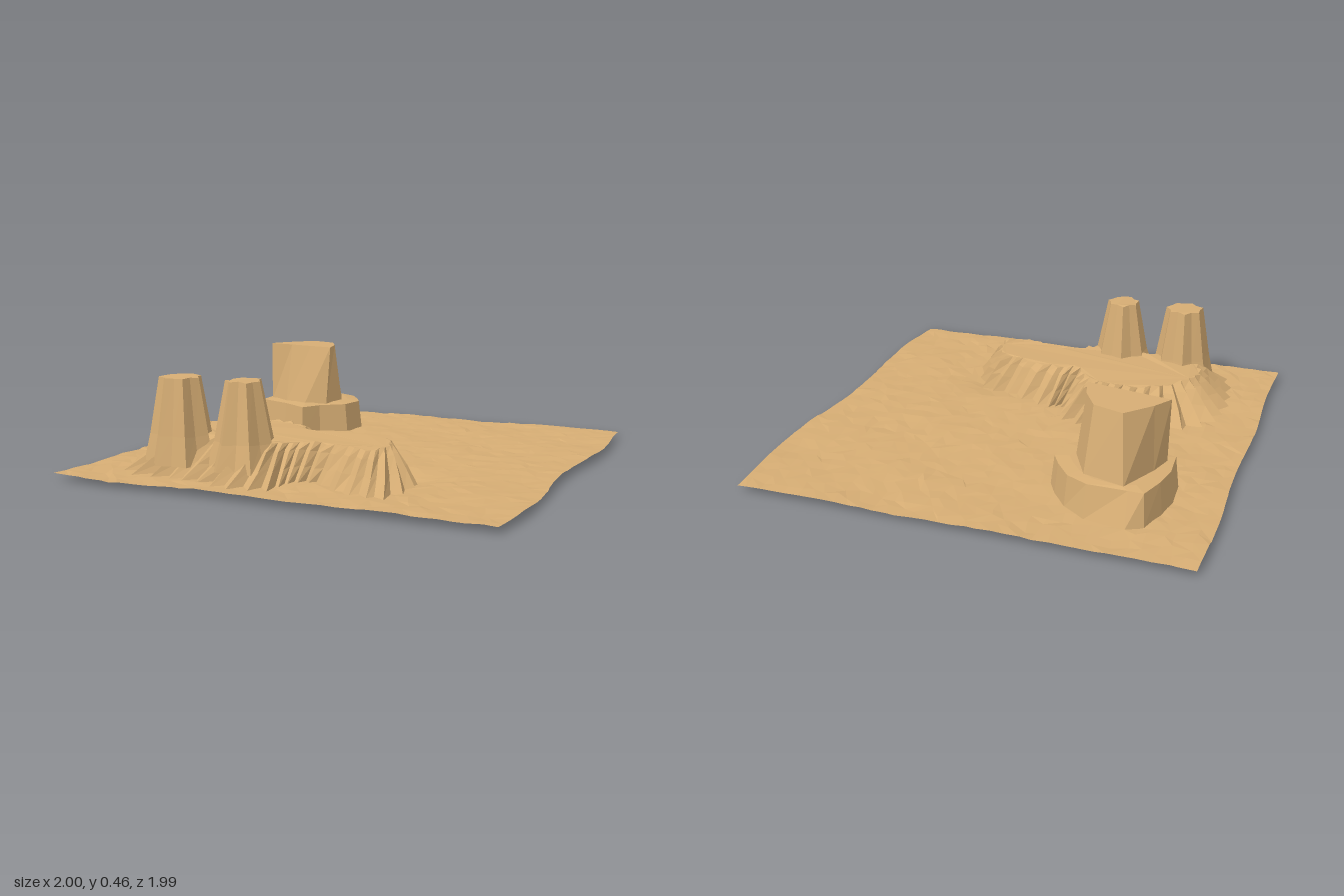
import * as THREE from 'three';

const sand = new THREE.MeshStandardMaterial({ color: 0xd6ad74, flatShading: true, side: THREE.DoubleSide });

// Seeded noise in 0..1
let seed = 7;
const rnd = () => {
  seed = (seed * 16807) % 2147483647;
  return seed / 2147483647;
};

// Desert floor height, with a shallow dip in front of the low mesa
const floorY = (x, z) => Math.max(0, 0.03
  + 0.0022 * Math.sin(9 * x + 4 * z) + 0.002 * Math.sin(13 * z - 7 * x)
  - 0.026 * Math.exp(-((x - 0.38) ** 2 + (z - 0.4) ** 2) / 0.02));

// Turns a flat list of triangle corners into a mesh
function trianglesMesh(name, pos) {
  const g = new THREE.BufferGeometry();
  g.setAttribute('position', new THREE.Float32BufferAttribute(pos, 3));
  g.computeVertexNormals();
  const m = new THREE.Mesh(g, sand);
  m.name = name;
  return m;
}

// Joins rings of [x, y, z] from the bottom up and closes the top
function loft(name, rings) {
  const pos = [];
  const n = rings[0].length;
  for (let r = 0; r + 1 < rings.length; r++) {
    for (let i = 0; i < n; i++) {
      const j = (i + 1) % n;
      const [a, b] = [rings[r], rings[r + 1]];
      pos.push(...a[i], ...b[i], ...a[j], ...a[j], ...b[i], ...b[j]);
    }
  }
  const top = rings[rings.length - 1];
  const flat = top.map(([x, , z]) => new THREE.Vector2(x, z));
  for (const [a, b, c] of THREE.ShapeUtils.triangulateShape(flat, [])) {
    const area = (flat[b].x - flat[a].x) * (flat[c].y - flat[a].y) - (flat[b].y - flat[a].y) * (flat[c].x - flat[a].x);
    const order = area > 0 ? [a, c, b] : [a, b, c];
    for (const k of order) pos.push(...top[k]);
  }
  return trianglesMesh(name, pos);
}

const curveOf = (pts) => new THREE.CatmullRomCurve3(pts.map(([x, z]) => new THREE.Vector3(x, 0, z)), true);

// Low mesa: foot outline and matching plateau outline
const mesaFoot = [[.48, .55], [.44, .81], [.27, .78], [.08, .67], [0, .72], [-.03, .85], [-.2, .9], [-.38, .85], [-.55, .84], [-.74, .8],
  [-.82, .58], [-.81, .36], [-.72, .18], [-.5, .09], [-.3, .05], [-.12, .08], [-.06, .21], [0, .17], [.2, .26], [.38, .34]];
const mesaTop = [[.35, .5], [.34, .62], [.24, .62], [.08, .58], [-.02, .6], [-.1, .66], [-.2, .68], [-.36, .64], [-.5, .66], [-.62, .62],
  [-.68, .48], [-.64, .38], [-.57, .29], [-.45, .22], [-.3, .21], [-.18, .25], [-.1, .36], [0, .33], [.18, .36], [.3, .4]];
const footCurve = curveOf(mesaFoot);
const topCurve = curveOf(mesaTop);
const mesaPoint = (t, k) => footCurve.getPoint(((t % 1) + 1) % 1).lerp(topCurve.getPoint(((t % 1) + 1) % 1), k);

// Butte: foot outline of its broad base
const butteFoot = [[-.27, -.55], [-.29, -.42], [-.4, -.33], [-.45, -.23], [-.6, -.32], [-.78, -.39], [-.79, -.53],
  [-.77, -.64], [-.73, -.77], [-.66, -.81], [-.48, -.78], [-.38, -.71], [-.31, -.62]];
const butteCentre = [-.54, -.53];
const inset = (pts, s) => pts.map(([x, z]) => [butteCentre[0] + (x - butteCentre[0]) * s, butteCentre[1] + (z - butteCentre[1]) * s]);

function inside(x, z, poly) {
  let hit = false;
  for (let i = 0, j = poly.length - 1; i < poly.length; j = i++) {
    const [[ax, az], [bx, bz]] = [poly[i], poly[j]];
    if ((az > z) !== (bz > z) && x < (bx - ax) * (z - az) / (bz - az) + ax) hit = !hit;
  }
  return hit;
}

// Floor: uneven grid left open beneath the rocks
function makeFloor() {
  const N = 34;
  const holes = [
    Array.from({ length: 160 }, (_, i) => { const p = mesaPoint(i / 160, 0.36); return [p.x, p.z]; }),
    curveOf(inset(butteFoot, 0.86)).getPoints(80).map((p) => [p.x, p.z]),
  ];
  const verts = [];
  for (let j = 0; j <= N; j++) {
    for (let i = 0; i <= N; i++) {
      const onX = i === 0 || i === N, onZ = j === 0 || j === N;
      const v = j / N * 2 - 1, u = i / N * 2 - 1;
      let x = u * 0.985 - 0.005 + (onX ? 0 : (rnd() - 0.5) * 0.035);
      let z = v * 0.987 - 0.01 + (onZ ? 0 : (rnd() - 0.5) * 0.035);
      if (i === N) x += 0.018 * Math.cos(5.5 * (v + 0.5));
      if (i === 0) x += 0.007 * Math.sin(7 * v + 3) - 0.003;
      if (j === N) z += 0.016 * Math.exp(-((u + 0.7) ** 2) / 0.03);
      const hole = holes.find((h) => inside(x, z, h));
      if (hole) {
        const d = ([a, b]) => (a - x) ** 2 + (b - z) ** 2;
        [x, z] = hole.reduce((best, p) => (d(p) < d(best) ? p : best));
      }
      verts.push({ p: [x, floorY(x, z) + (rnd() - 0.5) * 0.006 * (hole ? 0 : 1), z], hole });
    }
  }
  const pos = [];
  for (let j = 0; j < N; j++) {
    for (let i = 0; i < N; i++) {
      const a = j * (N + 1) + i, b = a + 1, c = a + N + 1, d = c + 1;
      const tris = rnd() > 0.5 ? [[a, c, b], [b, c, d]] : [[a, c, d], [a, d, b]];
      for (const t of tris) {
        if (t.every((k) => verts[k].hole)) continue;
        for (const k of t) pos.push(...verts[k].p.map((q, m) => (m === 1 ? Math.max(0, q) : q)));
      }
    }
  }
  return trianglesMesh('desertFloor', pos);
}

// Low mesa with swirled, pleated flanks
function makeMesa() {
  const N = 88;
  const pleat = Array.from({ length: N }, (_, i) => (i % 2 ? 1 : -1) * (0.4 + 0.6 * rnd()));
  const levels = [[0, 0.06, 0.2], [0.09, 0.46, 0.17], [0.15, 0.8, 0.14], [0.182, 1.0, 0.08]];
  return loft('lowMesa', levels.map(([y, k, amp], r) => pleat.map((s, i) => {
    const p = mesaPoint((i - r * 0.5) / N, k + s * amp);
    return [p.x, r ? y + (rnd() - 0.5) * 0.012 : floorY(p.x, p.z) - 0.003, p.z];
  })));
}

// Fluted, tapering rock spire; levels are [y, radius]
function makeSpire(name, cx, cz, levels) {
  const N = 14;
  const flute = Array.from({ length: N }, (_, i) => (i % 2 ? 0.84 : 1.02) + 0.08 * rnd());
  return loft(name, levels.map(([y, radius]) => flute.map((f, i) => {
    const a = i / N * Math.PI * 2;
    return [cx + Math.cos(a) * radius * f, y + (rnd() - 0.5) * 0.008, cz + Math.sin(a) * radius * f];
  })));
}

// Tall butte standing on a broad base
function makeButte() {
  const g = new THREE.Group();
  g.name = 'tallButte';
  const ring = (pts, y) => pts.map(([x, z]) => [x, y ?? floorY(x, z) - 0.003, z]);
  const ledge = inset(butteFoot, 0.94).map(([x, z]) => [x, Math.max(z, -0.745)]);
  const neck = inset(butteFoot, 0.7);
  g.add(loft('butteBase', [ring(butteFoot), ring(ledge, 0.168), ring(neck, 0.175)]));
  const low = [[-.37, -.52], [-.39, -.38], [-.5, -.35], [-.62, -.38], [-.74, -.45], [-.71, -.56], [-.63, -.73], [-.45, -.68]];
  const high = [[-.41, -.52], [-.38, -.41], [-.5, -.43], [-.62, -.45], [-.75, -.47], [-.7, -.55], [-.6, -.66], [-.47, -.62]];
  g.add(loft('butteTower', [ring(low, 0.165), ring(high, 0.456)]));
  return g;
}

export function createModel() {
  seed = 7;
  const model = new THREE.Group();
  model.name = 'desertTerrain';
  model.add(
    makeFloor(),
    makeMesa(),
    makeSpire('leftSpire', -0.55, 0.67, [[0.07, 0.15], [0.19, 0.125], [0.435, 0.085]]),
    makeSpire('rightSpire', -0.24, 0.67, [[0.07, 0.16], [0.18, 0.125], [0.435, 0.075]]),
    makeButte(),
  );
  return model;
}
